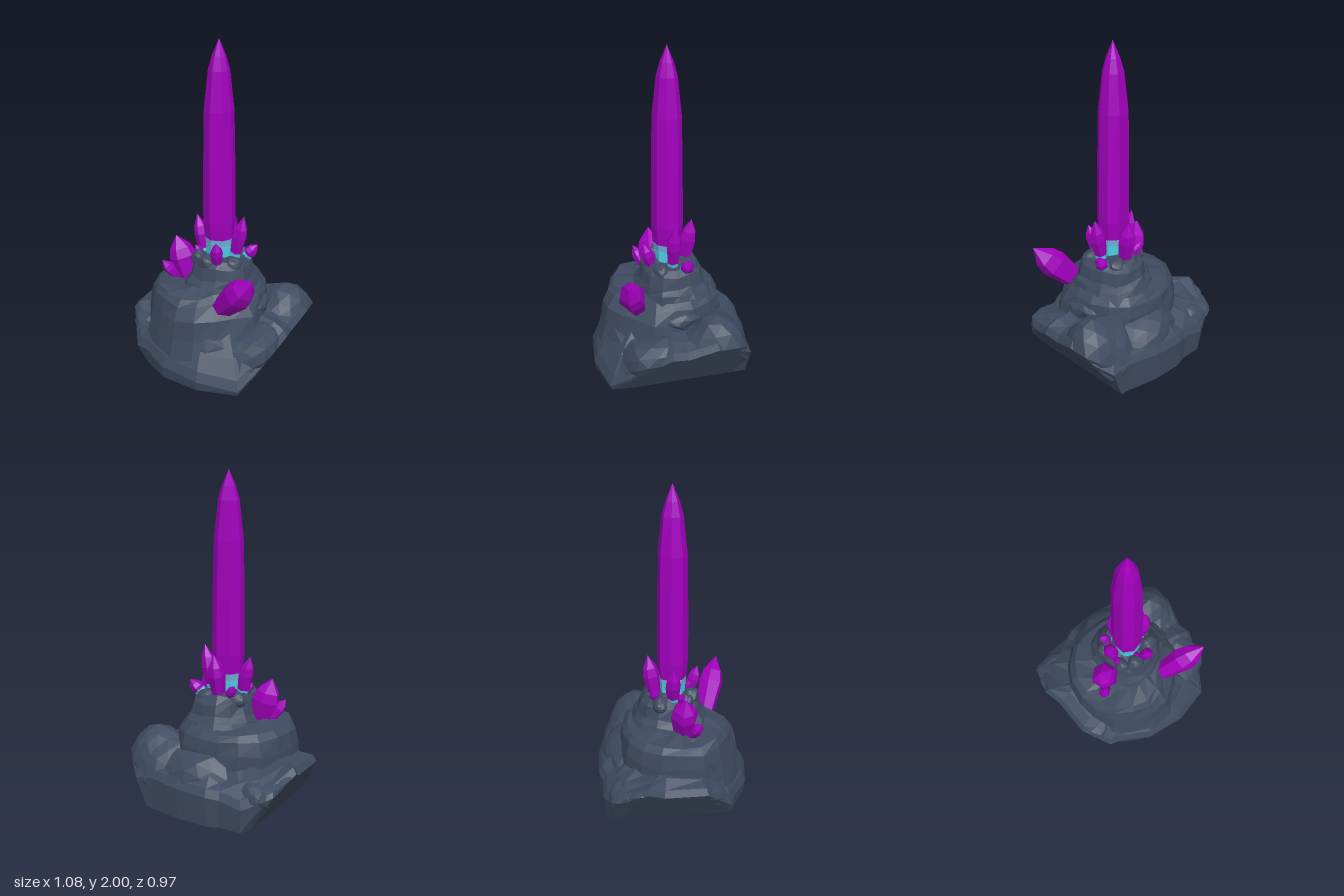
import * as THREE from 'three';

const V = (x, y, z) => new THREE.Vector3(x, y, z);
const material = (name, color) => Object.assign(new THREE.MeshStandardMaterial({ color, flatShading: true }), { name });

let seed = 7;
const random = () => (seed = (seed * 16807) % 2147483647) / 2147483647;
const jitter = (amount) => (random() - 0.5) * 2 * amount;

// Closed skin over a stack of rings that all have the same number of points
function loft(rings) {
  const n = rings[0].length;
  const pos = [];
  const tri = (...pts) => pts.forEach((p) => pos.push(p.x, p.y, p.z));
  const middle = (ring) => ring.reduce((s, p) => s.add(p), V(0, 0, 0)).divideScalar(n);
  const low = middle(rings[0]);
  const high = middle(rings[rings.length - 1]);
  for (let j = 0; j < n; j++) {
    const k = (j + 1) % n;
    for (let i = 0; i + 1 < rings.length; i++) {
      const [r, s] = [rings[i], rings[i + 1]];
      tri(r[j], s[j], r[k]);
      tri(r[k], s[j], s[k]);
    }
    tri(low, rings[0][j], rings[0][k]);
    tri(high, rings[rings.length - 1][k], rings[rings.length - 1][j]);
  }
  const geo = new THREE.BufferGeometry();
  geo.setAttribute('position', new THREE.Float32BufferAttribute(pos, 3));
  geo.computeVertexNormals();
  return geo;
}

// The rock is cut by two slanting planes and the ground
function cut(p) {
  p.y = Math.max(p.y, 0);
  const limit = 0.35 + 0.613 * p.y;
  p.x = THREE.MathUtils.clamp(p.x, -limit, limit);
  return p;
}

export function createModel() {
  const model = new THREE.Group();
  model.name = 'crystalRock';
  const stone = material('slateStone', 0x3e4a5f);
  const purple = material('purpleCrystal', 0xa200bd);
  const cyan = material('cyanGlow', 0x4fd0e6);
  const blend = material('blueGlow', 0x76b4e0);

  const add = (parent, name, geo, mat) => {
    const mesh = new THREE.Mesh(geo, mat);
    mesh.name = name;
    parent.add(mesh);
  };

  // Base slab: x, z and height of its widest edge
  const outline = [
    [0.5, -0.02, 0.245], [0.51, 0.08, 0.26], [0.44, 0.27, 0.15], [0.345, 0.43, 0.03], [0.1, 0.485, 0.06],
    [-0.15, 0.45, 0.08], [-0.32, 0.35, 0.1], [-0.4, 0.32, 0.09], [-0.51, 0.16, 0.26], [-0.51, -0.1, 0.26],
    [-0.54, -0.2, 0.31], [-0.45, -0.4, 0.2], [-0.32, -0.46, 0.14], [-0.18, -0.46, 0.17], [-0.1, -0.485, 0.18],
    [0.1, -0.48, 0.19], [0.29, -0.44, 0.2], [0.42, -0.43, 0.18], [0.5, -0.35, 0.25], [0.54, -0.19, 0.31],
  ];
  const slabRing = (scale, height) => outline.map(([x, z, y], i) =>
    cut(V(x * scale, height(y) + 0.02 * Math.sin(i * 2.3) * (scale < 0.9), z * scale)));
  add(model, 'baseSlab', loft([
    slabRing(0.98, () => 0), slabRing(1, (y) => y), slabRing(0.95, (y) => y * 0.9 + 0.065),
    slabRing(0.82, (y) => y * 0.6 + 0.165), slabRing(0.55, () => 0.34),
  ]), stone);

  // Stacked rock tiers: centre x, z, then [height, radius, hollow on the front left] rings
  const tier = (name, cx, cz, sides, rough, profile) => {
    const wobble = Array.from({ length: sides }, () => 1 + jitter(rough));
    add(model, name, loft(profile.map(([y, r, hollow = 0]) => wobble.map((w, j) => {
      const a = (j / sides) * Math.PI * 2;
      const d = r * (w + jitter(rough * 0.5)) * (1 - hollow * Math.exp(-(((a - 0.9) / 0.65) ** 2)));
      return cut(V(cx + Math.cos(a) * d, y + jitter(0.012), cz + Math.sin(a) * d));
    }))), stone);
  };
  tier('lowerTier', -0.03, 0.02, 18, 0.04,
    [[0.1, 0.42], [0.27, 0.38, 0.02], [0.38, 0.372, 0.09], [0.46, 0.352, 0.24], [0.5, 0.32, 0.31], [0.52, 0.2, 0.2]]);
  tier('middleTier', 0.03, -0.02, 14, 0.06,
    [[0.45, 0.27, 0.1], [0.53, 0.23, 0.05], [0.57, 0.205], [0.64, 0.185], [0.68, 0.15], [0.69, 0.08]]);

  // Loose boulders: name, centre, half sizes
  const boulder = (name, c, s) => {
    const geo = new THREE.IcosahedronGeometry(1, 2);
    const p = geo.attributes.position;
    const v = V(0, 0, 0);
    for (let i = 0; i < p.count; i++) {
      v.fromBufferAttribute(p, i);
      const bump = 1 + 0.07 * Math.sin(4 * v.x + 9 * c[0] + 3 * v.y) + 0.06 * Math.sin(5 * v.z + 7 * c[2] - 4 * v.y);
      v.multiplyScalar(bump).multiply(V(...s)).add(V(...c));
      cut(v);
      p.setXYZ(i, v.x, v.y, v.z);
    }
    geo.computeVertexNormals();
    add(model, name, geo, stone);
  };
  [
    ['rightBackBoulder', [0.35, 0.22, -0.22], [0.19, 0.225, 0.21]],
    ['sideBoulder', [0.33, 0.15, 0.11], [0.19, 0.18, 0.26]],
    ['backBoulder', [0.06, 0.19, -0.3], [0.29, 0.2, 0.165]],
    ['frontBoulder', [0.02, 0.14, 0.25], [0.3, 0.2, 0.16]],
    ['leftBoulder', [-0.38, 0.17, 0.06], [0.14, 0.13, 0.22]],
    ['cornerLump', [-0.47, 0.24, -0.22], [0.08, 0.07, 0.11]],
    ['cornerLump', [-0.42, 0.21, -0.3], [0.1, 0.075, 0.12]],
    ['cornerLump', [-0.36, 0.19, -0.36], [0.1, 0.085, 0.07]],
    ['ledgeStone', [0.22, 0.38, -0.02], [0.12, 0.07, 0.16]],
    ['ledgeStone', [-0.25, 0.44, 0.1], [0.1, 0.07, 0.13]],
    ['crownStone', [-0.01, 0.66, 0.11], [0.06, 0.05, 0.05]],
    ['crownStone', [-0.09, 0.66, 0.07], [0.045, 0.05, 0.045]],
    ['crownStone', [0.14, 0.65, 0.06], [0.06, 0.055, 0.05]],
    ['crownStone', [0.1, 0.66, -0.12], [0.06, 0.04, 0.05]],
    ['crownStone', [-0.09, 0.65, -0.09], [0.06, 0.05, 0.05]],
  ].forEach((b) => boulder(...b));

  // Crystal from base to tip; each section is [part, material, [share of length, share of radius] rings]
  const crystal = (name, base, tip, radius, sides, sections, rough = 0.07) => {
    const group = new THREE.Group();
    group.name = name;
    const axis = V(...tip).sub(V(...base));
    const length = axis.length();
    const turn = new THREE.Quaternion().setFromUnitVectors(V(0, 1, 0), axis.normalize());
    const corners = Array.from({ length: sides }, (_, j) =>
      [(j + 0.3 + jitter(0.12)) / sides * Math.PI * 2, 1 + jitter(rough)]);
    sections.forEach(([part, mat, rings]) => add(group, part, loft(rings.map(([t, r]) =>
      corners.map(([a, w]) => V(Math.cos(a) * r * w * radius, t * length, Math.sin(a) * r * w * radius)
        .applyQuaternion(turn).add(V(...base))))), mat));
    model.add(group);
  };

  // Tall central spire with glowing foot
  crystal('mainSpire', [0.018, 0.64, -0.006], [0.012, 2, -0.004], 0.097, 8, [
    ['glowFoot', cyan, [[0, 0.8], [0.085, 0.86]]],
    ['glowBand', blend, [[0.085, 0.86], [0.116, 0.92]]],
    ['shaft', purple, [[0.116, 0.92], [0.2, 1.02], [0.45, 0.99], [0.7, 0.92], [0.87, 0.66], [0.93, 0.42], [1, 0.01]]],
  ], 0.04);

  // Smaller crystals: name, base, tip, radius, share of length that glows
  [
    ['largeFrontCrystal', [0.12, 0.42, 0.21], [0.38, 0.71, 0.32], 0.088, 0],
    ['largeSideCrystal', [-0.17, 0.48, 0.045], [-0.255, 0.77, 0.05], 0.083, 0],
    ['sideShard', [-0.23, 0.5, 0.08], [-0.305, 0.625, 0.14], 0.037, 0],
    ['crownCrystal', [-0.08, 0.64, -0.01], [-0.14, 0.91, -0.015], 0.046, 0.22],
    ['crownCrystal', [0.11, 0.64, -0.015], [0.175, 0.95, -0.015], 0.048, 0.22],
    ['crownCrystal', [0.015, 0.64, -0.11], [0.03, 0.93, -0.155], 0.053, 0],
    ['crownCrystal', [0.055, 0.64, 0.1], [0.07, 0.82, 0.155], 0.041, 0],
    ['crownShard', [0.14, 0.63, -0.07], [0.23, 0.74, -0.1], 0.042, 0.42],
    ['crownShard', [-0.03, 0.65, -0.1], [-0.1, 0.75, -0.14], 0.031, 0.3],
    ['crownShard', [-0.08, 0.65, 0.03], [-0.125, 0.73, 0.045], 0.026, 0],
    ['crownShard', [0.02, 0.65, 0.07], [0.015, 0.75, 0.1], 0.02, 0],
  ].forEach(([name, base, tip, radius, glow]) => {
    const edge = 0.68 + glow * 0.5;
    const sections = [['shaft', purple, [[glow, edge], [0.55, 1], [0.74, 0.82], [1, 0.02]]]];
    if (glow) sections.push(['glowFoot', cyan, [[0, 0.68], [glow, edge]]]);
    crystal(name, base, tip, radius, 6, sections);
  });

  return model;
}
